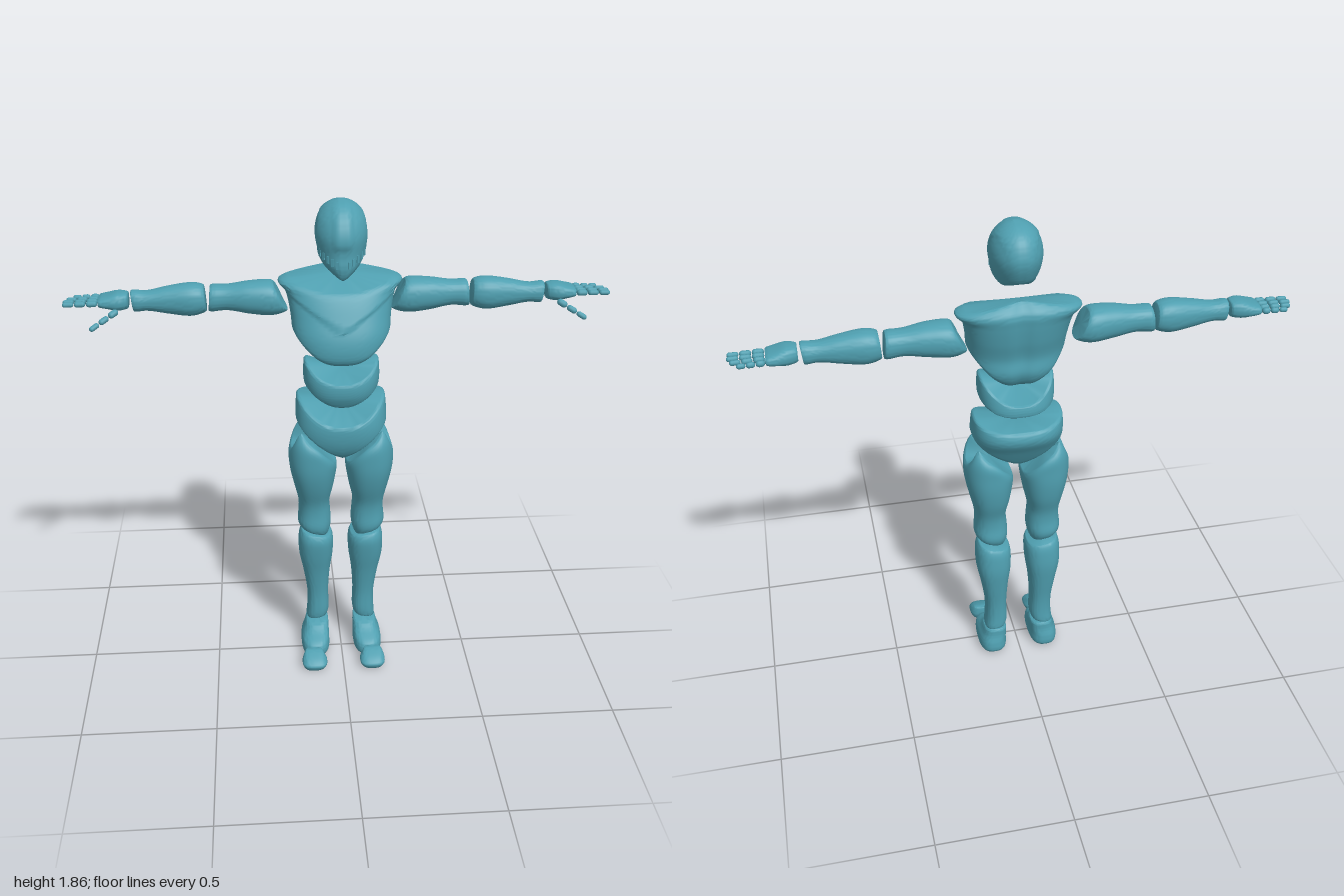
import * as THREE from 'three';
import { toCreasedNormals } from 'three/addons/utils/BufferGeometryUtils.js';

const material = new THREE.MeshStandardMaterial({ color: 0x4f9fb0 });

// Smooth (Hermite) lookup of a cross-section [y, x0, x1, z0, z1] at height y
function section(keys, y) {
  const last = keys.length - 1;
  if (y <= keys[0][0]) return keys[0];
  if (y >= keys[last][0]) return keys[last];
  let i = 0;
  while (y > keys[i + 1][0]) i++;
  const [a, b] = [keys[i], keys[i + 1]];
  const p = keys[Math.max(i - 1, 0)], q = keys[Math.min(i + 2, last)];
  const h = b[0] - a[0], t = (y - a[0]) / h, t2 = t * t, t3 = t2 * t;
  return a.map((v, k) => {
    const m0 = (b[k] - p[k]) / (b[0] - p[0]) * h, m1 = (q[k] - a[k]) / (q[0] - a[0]) * h;
    return (2 * t3 - 3 * t2 + 1) * v + (t3 - 2 * t2 + t) * m0 + (3 * t2 - 2 * t3) * b[k] + (t3 - t2) * m1;
  });
}

// Closed body plate: rings between lower and upper rims that may vary with direction (c = x, s = z)
function shell(keys, { lo, hi, n = 2.3, bevel = 0.12, warp, loMid, hiMid, sides = 48, rows = 28 }) {
  const pos = [], idx = [], sums = [0, 0, 0, 0, 0, 0];
  const pw = (v) => Math.sign(v) * Math.abs(v) ** (2 / n);
  for (let r = 0; r <= rows; r++) {
    const v = (1 - Math.cos(Math.PI * r / rows)) / 2;
    const e = Math.max(0, 1 - Math.min(v, 1 - v) / 0.1);
    const k = 1 - bevel * (1 - Math.sqrt(1 - e * e));
    for (let i = 0; i < sides; i++) {
      const th = i / sides * Math.PI * 2, c = Math.cos(th), s = Math.sin(th);
      const y = THREE.MathUtils.lerp(lo(c, s), hi(c, s), v);
      const [, x0, x1, z0, z1] = section(keys, y);
      let p = [(x0 + x1) / 2 + pw(c) * k * (x1 - x0) / 2, y, (z0 + z1) / 2 + pw(s) * k * (z1 - z0) / 2];
      if (warp) p = warp(...p);
      pos.push(...p);
      if (r === 0) p.forEach((w, j) => { sums[j] += w / sides; });
      if (r === rows) p.forEach((w, j) => { sums[j + 3] += w / sides; });
      if (r < rows) {
        const a = r * sides + i, b = r * sides + (i + 1) % sides;
        idx.push(a, a + sides, b, b, a + sides, b + sides);
      }
    }
  }
  // end caps
  if (loMid !== undefined) sums[1] = loMid;
  if (hiMid !== undefined) sums[4] = hiMid;
  const base = pos.length / 3, top = rows * sides;
  pos.push(...sums);
  for (let i = 0; i < sides; i++) {
    const j = (i + 1) % sides;
    idx.push(base, i, j, base + 1, top + j, top + i);
  }
  const g = new THREE.BufferGeometry();
  g.setAttribute('position', new THREE.Float32BufferAttribute(pos, 3));
  g.setIndex(idx);
  return g;
}

function finish(name, g, side = 1) {
  if (side < 0) {
    g.scale(-1, 1, 1);
    g.setIndex(Array.from(g.index.array).reverse());
  }
  const m = new THREE.Mesh(toCreasedNormals(g, 0.65), material);
  m.name = name;
  return m;
}

const sym = (keys) => keys.map(([y, w, z0, z1]) => [y, -w, w, z0, z1]);
const mix = (s, back, front) => back + (front - back) * (s + 1) / 2;
const rim = (back, front, flank, power = 2) => (c, s) => {
  const b = mix(s, back, front);
  return b + (flank - b) * Math.abs(c) ** power;
};
const ramp = THREE.MathUtils.smoothstep;

function head() {
  const g = new THREE.Group();
  g.name = 'head';
  const keys = sym([[1.595, 0.04, -0.05, 0.1], [1.64, 0.068, -0.09, 0.109], [1.68, 0.086, -0.12, 0.106],
    [1.74, 0.097, -0.14, 0.108], [1.79, 0.089, -0.13, 0.09], [1.825, 0.068, -0.105, 0.062],
    [1.848, 0.038, -0.065, 0.028], [1.858, 0.008, -0.025, -0.005]]);
  // recessed side discs and a raised crest over the crown
  const warp = (x, y, z) => {
    const disc = 1 - ramp(Math.hypot(z + 0.05, y - 1.735), 0.075, 0.083);
    const crest = (1 - ramp(Math.abs(x), 0.028, 0.036)) * ramp(y, 1.7, 1.72) * ramp(z, 0, 0.03);
    return [x * (1 - 0.05 * disc), y, z + 0.005 * crest];
  };
  g.add(finish('helmet', shell(keys, { lo: rim(1.655, 1.595, 1.625), hi: () => 1.858, n: 2, bevel: 0.1, warp, sides: 64, rows: 44 })));
  // jaw vents
  for (const side of [1, -1]) for (let i = 0; i < 5; i++) {
    const a = 0.5 + i * 0.2, y = 1.685 - i * 0.008;
    const [, , w, z0, z1] = section(keys, y);
    const vent = new THREE.Mesh(new THREE.BoxGeometry(0.009, 0.026, 0.008), material);
    vent.name = 'jawVent';
    vent.position.set(side * w * Math.cos(a), y, (z0 + z1) / 2 + (z1 - z0) / 2 * Math.sin(a));
    vent.rotation.y = side * (Math.PI / 2 - a);
    g.add(vent);
  }
  return g;
}

function torso(g) {
  // chest with a raised V-shaped collar plate and a spine groove
  const chest = sym([[1.26, 0.15, -0.11, 0.115], [1.32, 0.163, -0.135, 0.132], [1.38, 0.176, -0.13, 0.125],
    [1.45, 0.183, -0.145, 0.095], [1.52, 0.198, -0.155, 0.058], [1.56, 0.222, -0.155, 0.025], [1.6, 0.13, -0.125, -0.02]]);
  const warp = (x, y, z) => {
    const line = y - 1.4 - 0.6 * Math.abs(x);
    const plate = z > 0 ? ramp(line, 0, 0.012) * 0.007 : 0;
    const spine = z < -0.05 ? (1 - ramp(Math.abs(x), 0, 0.045)) * 0.01 : 0;
    return [x, y, z + plate + spine];
  };
  g.add(finish('chest', shell(chest, { lo: rim(1.265, 1.285, 1.385, 2.4), hi: rim(1.6, 1.535, 1.572), n: 2.4,
    bevel: 0.08, warp, hiMid: 1.585, loMid: 1.35, sides: 72, rows: 44 })));
  const waist = sym([[1.11, 0.115, -0.125, 0.1], [1.16, 0.133, -0.145, 0.122], [1.21, 0.14, -0.135, 0.122], [1.275, 0.137, -0.11, 0.1]]);
  g.add(finish('waist', shell(waist, { lo: rim(1.15, 1.112, 1.18), hi: rim(1.195, 1.212, 1.275), n: 2.5, bevel: 0.08 })));
  const pelvis = sym([[0.88, 0.1, -0.07, 0.07], [0.94, 0.15, -0.11, 0.11], [1.0, 0.168, -0.145, 0.125],
    [1.06, 0.17, -0.178, 0.12], [1.12, 0.166, -0.165, 0.09]]);
  g.add(finish('pelvis', shell(pelvis, { lo: rim(0.915, 0.9, 1.03, 1.2), hi: rim(1.1, 1.045, 1.122), n: 2.5, bevel: 0.08, loMid: 0.88 })));
}

function leg(side) {
  const g = new THREE.Group();
  g.name = side > 0 ? 'leftLeg' : 'rightLeg';
  const thigh = [[0.53, 0.05, 0.165, -0.1, 0.045], [0.58, 0.04, 0.17, -0.11, 0.05], [0.63, 0.042, 0.165, -0.103, 0.046],
    [0.68, 0.045, 0.165, -0.105, 0.05], [0.75, 0.03, 0.18, -0.125, 0.075], [0.82, 0.018, 0.195, -0.135, 0.092],
    [0.88, 0.012, 0.2, -0.135, 0.095], [0.94, 0.02, 0.195, -0.13, 0.09], [0.99, 0.05, 0.185, -0.1, 0.06]];
  g.add(finish('thigh', shell(thigh, { lo: (c) => 0.552 + 0.022 * c, n: 2.4,
    hi: (c) => (c > 0.5 ? 0.99 - 0.08 * (c - 0.5) ** 2 / 0.25 : 0.99 - 0.09 * (0.5 - c)) }), side));
  const shin = [[0.12, 0.052, 0.142, -0.12, 0], [0.17, 0.048, 0.135, -0.112, 0], [0.25, 0.05, 0.135, -0.112, 0],
    [0.35, 0.043, 0.15, -0.124, 0.013], [0.43, 0.032, 0.165, -0.132, 0.03], [0.5, 0.03, 0.166, -0.127, 0.04], [0.545, 0.035, 0.16, -0.12, 0.036]];
  g.add(finish('shin', shell(shin, { lo: (c) => 0.13 - 0.008 * c, hi: (c) => 0.533 + 0.01 * c, n: 2.5 }), side));
  const foot = [[0, 0.06, 0.155, -0.11, 0.08], [0.02, 0.05, 0.162, -0.122, 0.09], [0.055, 0.05, 0.16, -0.12, 0.08],
    [0.085, 0.05, 0.148, -0.112, 0.025], [0.12, 0.052, 0.138, -0.11, -0.02]];
  g.add(finish('foot', shell(foot, { lo: () => 0.002, hi: (c, s) => 0.113 - 0.007 * s, n: 2.8 }), side));
  const toe = [[0, 0.078, 0.155, 0.105, 0.175], [0.025, 0.066, 0.165, 0.098, 0.187], [0.045, 0.074, 0.16, 0.098, 0.165], [0.063, 0.085, 0.15, 0.1, 0.125]];
  g.add(finish('toe', shell(toe, { lo: () => 0, hi: () => 0.063, n: 2.8, sides: 32, rows: 16 }), side));
  return g;
}

// Finger or thumb: three short rounded segments from one point to another
function digit(g, name, from, to, r, side) {
  const a = new THREE.Vector3(side * from[0], from[1], from[2]), b = new THREE.Vector3(side * to[0], to[1], to[2]);
  const dir = b.clone().sub(a), len = dir.length() / 3;
  const q = new THREE.Quaternion().setFromUnitVectors(new THREE.Vector3(0, 1, 0), dir.clone().normalize());
  for (let i = 0; i < 3; i++) {
    const w = r * (1 - i * 0.1);
    const m = new THREE.Mesh(new THREE.CapsuleGeometry(w, Math.max(len * 0.96 - 2 * w, 0.003), 4, 10), material);
    m.name = name;
    m.position.lerpVectors(a, b, (i + 0.5) / 3);
    m.quaternion.copy(q);
    g.add(m);
  }
}

function arm(side) {
  const g = new THREE.Group();
  g.name = side > 0 ? 'leftArm' : 'rightArm';
  // sections run outward along x: [x, bottom, top, back, front]
  const part = (name, keys, opt) => {
    const geo = shell(keys.map(([x, b, t, z0, z1]) => [x, 1.48 - t, 1.48 - b, z0, z1]), opt);
    g.add(finish(name, geo.rotateZ(-Math.PI / 2).translate(0, 1.48, 0), side));
  };
  part('upperArm', [[0.19, 1.428, 1.53, -0.15, -0.035], [0.25, 1.416, 1.543, -0.16, -0.025], [0.33, 1.424, 1.541, -0.152, -0.03],
    [0.41, 1.437, 1.53, -0.143, -0.045], [0.478, 1.43, 1.532, -0.148, -0.045]], { lo: (c) => 0.215 - 0.025 * c, hi: (c) => 0.474 + 0.004 * c });
  part('forearm', [[0.484, 1.432, 1.533, -0.143, -0.042], [0.54, 1.42, 1.54, -0.147, -0.034], [0.62, 1.43, 1.53, -0.138, -0.042],
    [0.7, 1.443, 1.515, -0.127, -0.05], [0.75, 1.436, 1.52, -0.13, -0.05]], { lo: (c) => 0.488 - 0.004 * c, hi: (c) => 0.75 - 0.005 * c });
  part('palm', [[0.762, 1.455, 1.512, -0.125, -0.052], [0.8, 1.45, 1.515, -0.138, -0.038], [0.84, 1.458, 1.505, -0.146, -0.038],
    [0.872, 1.465, 1.497, -0.147, -0.042]], { lo: () => 0.764, hi: () => 0.87, n: 2.8, sides: 32, rows: 18 });
  const tips = [0.998, 1, 0.99, 0.968];
  tips.forEach((tip, i) => digit(g, 'finger', [0.872, 1.481, -0.056 - i * 0.027], [tip, 1.479, -0.056 - i * 0.028], 0.0115, side));
  digit(g, 'thumb', [0.8, 1.458, -0.045], [0.9, 1.402, 0.006], 0.0125, side);
  return g;
}

export function createModel() {
  const model = new THREE.Group();
  model.name = 'jointedFigure';
  model.add(head());
  torso(model);
  for (const side of [1, -1]) model.add(leg(side), arm(side));
  return model;
}
